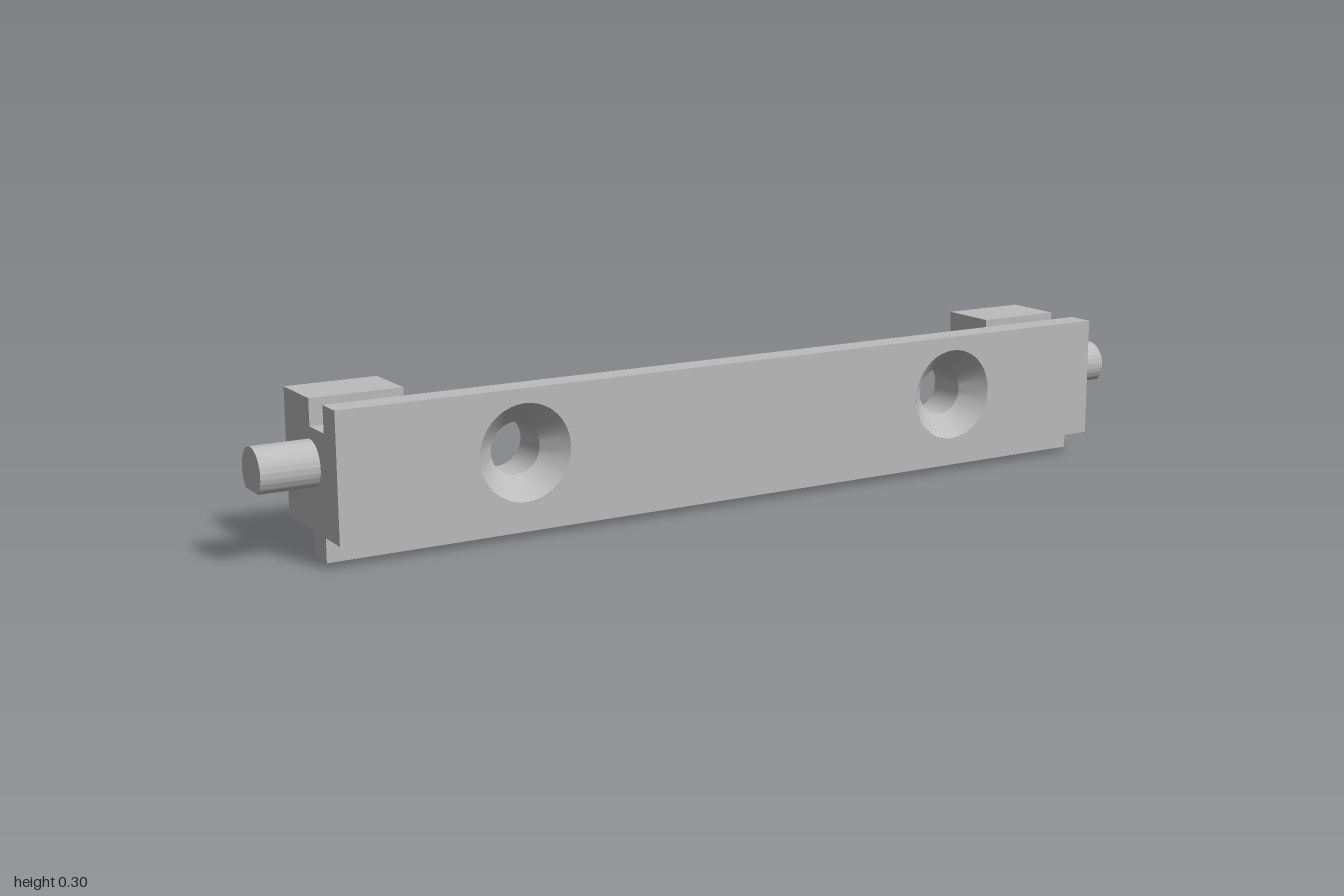
import * as THREE from 'three';
import { toCreasedNormals } from 'three/addons/utils/BufferGeometryUtils.js';

const HALF = 0.885;          // half length of the bar
const FRONT = 0.127;         // z of the front face; the back face is z = 0
const BASE = 0.048, TOP = 0.3, GROOVE = 0.247;
const HOLE_X = 0.507, AXIS_Y = 0.175, SINK_R = 0.096, BORE_R = 0.052;
const SEG = 40;

// Extrude a (-z, y) outline along x, starting at x0
function extrudeX(shape, x0, length) {
  const g = new THREE.ExtrudeGeometry(shape, { depth: length, bevelEnabled: false, curveSegments: SEG });
  return g.translate(0, 0, x0).rotateY(Math.PI / 2);
}

// Remove the triangles lying entirely in the plane z = zPlane
function dropPlane(geometry, zPlane) {
  const p = geometry.attributes.position, kept = [];
  for (let i = 0; i < p.count; i += 3) {
    const inPlane = [0, 1, 2].every(k => Math.abs(p.getZ(i + k) - zPlane) < 1e-5);
    if (!inPlane) for (let k = 0; k < 3; k++) kept.push(p.getX(i + k), p.getY(i + k), p.getZ(i + k));
  }
  const g = new THREE.BufferGeometry();
  g.setAttribute('position', new THREE.Float32BufferAttribute(kept, 3));
  g.computeVertexNormals();
  return g;
}

// Flat face of the bar with two round holes
function drilledFace(y0, y1, radius) {
  const s = new THREE.Shape([[-HALF, y0], [HALF, y0], [HALF, y1], [-HALF, y1]].map(p => new THREE.Vector2(...p)));
  for (const side of [-1, 1]) {
    s.holes.push(new THREE.Path().absarc(side * HOLE_X, AXIS_Y, radius, 0, Math.PI * 2, true));
  }
  return new THREE.ShapeGeometry(s, SEG);
}

export function createModel() {
  const group = new THREE.Group();
  const grey = new THREE.MeshStandardMaterial({ color: 0xbcbcbc });
  grey.name = 'grey';
  const add = (name, geometry) => {
    const mesh = new THREE.Mesh(geometry, grey);
    mesh.name = name;
    group.add(mesh);
    return mesh;
  };

  // Bar: grooved top, rib below, open where the drilled faces go
  const profile = new THREE.Shape([
    [0, 0], [0, GROOVE], [0.07, GROOVE], [0.07, TOP],
    [FRONT, TOP], [FRONT, BASE], [0.059, BASE], [0.059, 0],
  ].map(([z, y]) => new THREE.Vector2(-z, y)));
  const shell = extrudeX(profile, -HALF, HALF * 2);
  add('bar', dropPlane(dropPlane(shell, FRONT), 0));
  add('frontFace', drilledFace(BASE, TOP, SINK_R).translate(0, 0, FRONT));
  add('backFace', drilledFace(0, GROOVE, BORE_R).rotateY(Math.PI));

  // Inside of a countersunk screw hole
  const sink = [[SINK_R, FRONT], [BORE_R, 0.082], [BORE_R, 0]].map(p => new THREE.Vector2(...p));
  const holeGeometry = toCreasedNormals(new THREE.LatheGeometry(sink, SEG).rotateX(Math.PI / 2), 0.5);

  // Pin with a flat cut along its underside
  const pinR = 0.048, cut = Math.asin(0.035 / pinR);
  const pinShape = new THREE.Shape().absarc(0, AXIS_Y, pinR, -cut, Math.PI + cut, false);
  pinShape.closePath();

  for (const side of [-1, 1]) {
    const label = side > 0 ? 'left' : 'right';
    add(label + 'ScrewHole', holeGeometry).position.set(side * HOLE_X, AXIS_Y, 0);
    add(label + 'Pin', toCreasedNormals(extrudeX(pinShape, side > 0 ? HALF : -1, 1 - HALF), 0.5));
    // Block behind each end of the bar
    add(label + 'EndBlock', new THREE.BoxGeometry(0.188, TOP - BASE, 0.127))
      .position.set(side * (HALF - 0.094), (TOP + BASE) / 2, -0.0635);
  }
  return group;
}
